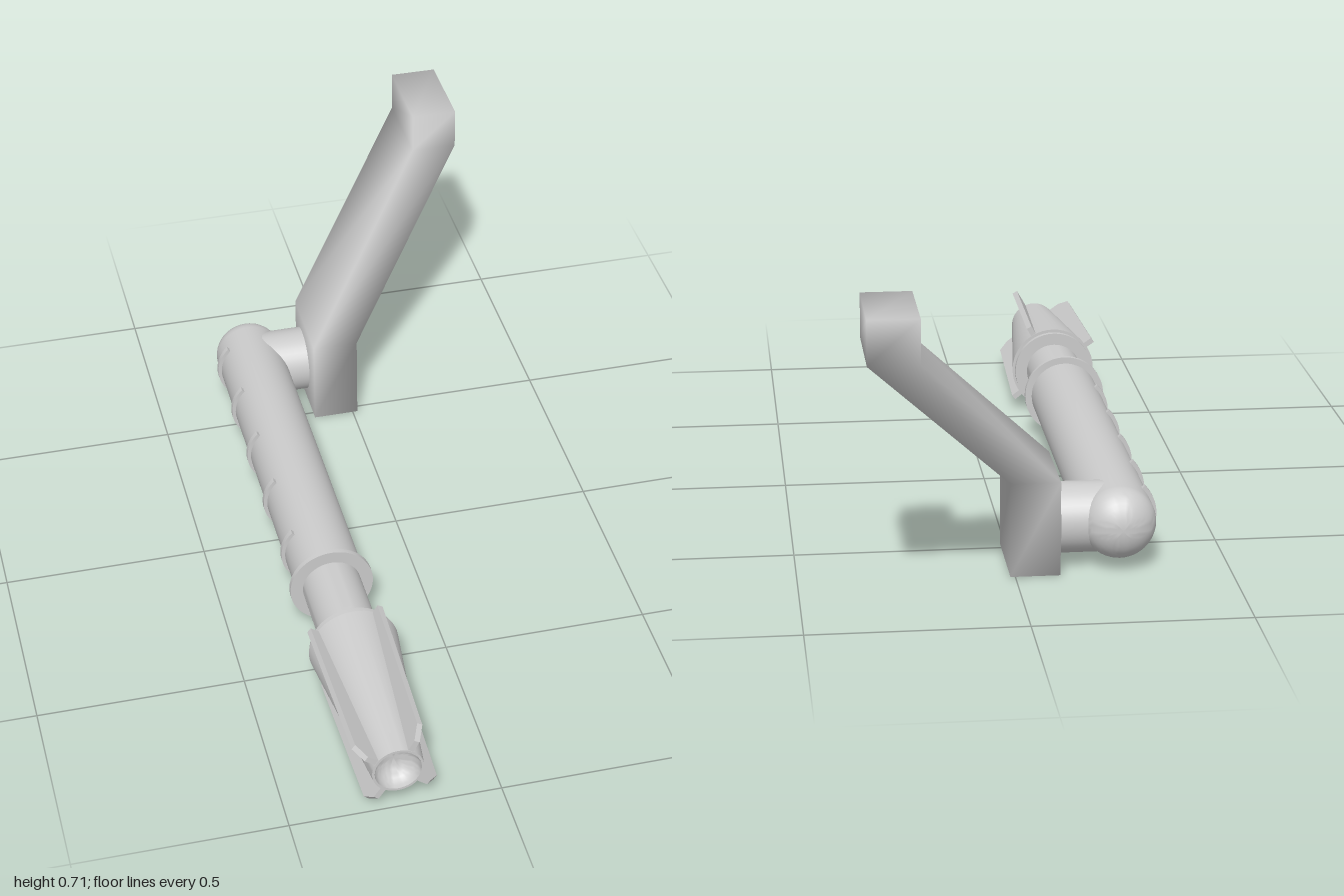
import * as THREE from 'three';
import { mergeVertices, toCreasedNormals } from 'three/addons/utils/BufferGeometryUtils.js';

const AXIS_X = -0.245, AXIS_Y = 0.11;

export function createModel() {
  const group = new THREE.Group();
  const material = new THREE.MeshStandardMaterial({ color: 0xcccccc });

  const add = (name, geometry, parent = group) => {
    const mesh = new THREE.Mesh(geometry, material);
    mesh.name = name;
    parent.add(mesh);
    return mesh;
  };

  // Everything turned about the long axis; profile is [radius, z], back to front
  const shaft = new THREE.Group();
  shaft.name = 'shaft';
  shaft.position.set(AXIS_X, AXIS_Y, 0);
  group.add(shaft);
  const turned = (name, profile) => {
    const lathe = new THREE.LatheGeometry(profile.map(([r, z]) => new THREE.Vector2(r, z)), 48);
    add(name, toCreasedNormals(lathe.rotateX(Math.PI / 2), 0.6), shaft);
  };

  // Main barrel with a domed back end
  const barrel = [];
  for (let i = 0; i <= 10; i++) {
    const a = (i / 10) * Math.PI / 2;
    barrel.push([0.086 * Math.sin(a), -0.655 - 0.07 * Math.cos(a)]);
  }
  turned('barrel', [...barrel, [0.086, 0.325], [0, 0.325]]);
  turned('neck', [[0, 0.32], [0.072, 0.32], [0.072, 0.57], [0, 0.57]]);
  for (const [name, z] of [['barrelCollar', 0.323], ['neckCollar', 0.546]]) {
    turned(name, [[0, z], [0.103, z], [0.103, z + 0.013], [0, z + 0.013]]);
  }

  // Tapered knob with a bowl sunk into its front
  const knob = [[0, 0.565], [0.109, 0.565], [0.061, 1], [0.055, 1]];
  for (let i = 1; i <= 8; i++) {
    const a = (i / 8) * Math.PI / 2;
    knob.push([0.055 * Math.cos(a), 1 - 0.045 * Math.sin(a)]);
  }
  turned('knob', knob);

  // Four grip fins along the knob
  const finShape = new THREE.Shape([
    [0.055, 0.568], [0.132, 0.568], [0.118, 0.97], [0.09, 0.999], [0.057, 0.999],
  ].map(([r, z]) => new THREE.Vector2(r, z)));
  for (const degrees of [61, 145, 235, 323]) {
    const fin = new THREE.ExtrudeGeometry(finShape, { depth: 0.014, bevelEnabled: false });
    fin.translate(0, 0, -0.007).rotateX(Math.PI / 2).rotateZ(THREE.MathUtils.degToRad(degrees));
    add('knobFin', fin, shaft);
  }

  // Raised ribs on the outer side of the barrel
  const from = Math.PI * 0.75, to = Math.PI * 1.25;
  const ribShape = new THREE.Shape();
  ribShape.absarc(0, 0, 0.095, from, to, false);
  ribShape.absarc(0, 0, 0.08, to, from, true);
  for (const z of [-0.6, -0.415, -0.22, -0.02, 0.19]) {
    const rib = new THREE.ExtrudeGeometry(ribShape, { depth: 0.014, bevelEnabled: false, curveSegments: 16 });
    add('barrelRib', rib.translate(0, 0, z - 0.007), shaft);
  }

  // Side stub that carries the arm
  const stub = new THREE.CylinderGeometry(0.083, 0.083, 0.138, 40).rotateZ(Math.PI / 2);
  add('armStub', stub).position.set(-0.176, 0.108, -0.605);

  // Cranked arm: a bar whose rows are shifted sideways, with soft shared normals
  const rows = [ // y, centre x, centre z
    [0, -0.046, -0.588], [0.225, -0.046, -0.588],
    [0.605, 0.297, -0.888], [0.708, 0.297, -0.888],
  ];
  let arm = new THREE.BoxGeometry(0.116, 3, 0.225, 1, 3, 1);
  arm.deleteAttribute('uv');
  arm.deleteAttribute('normal');
  arm = mergeVertices(arm);
  const p = arm.attributes.position;
  for (let i = 0; i < p.count; i++) {
    const [y, x, z] = rows[Math.round(p.getY(i) + 1.5)];
    p.setXYZ(i, p.getX(i) + x, y, p.getZ(i) + z);
  }
  arm.computeVertexNormals();
  add('crankedArm', arm);

  return group;
}
